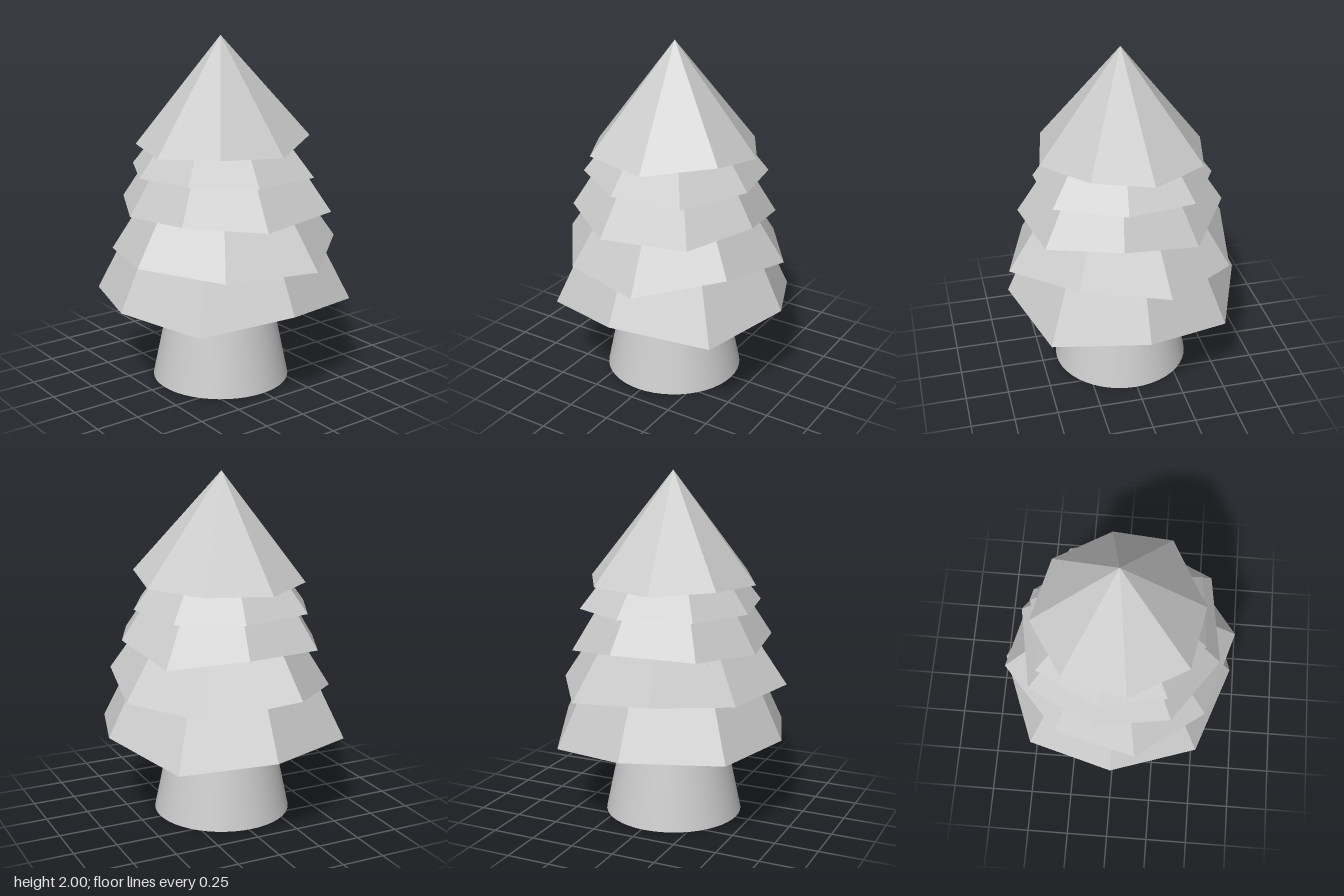
import * as THREE from 'three';

const AXIS_X = -0.015, AXIS_Z = 0.005;

// Each foliage tier is an eight-sided cone with an uneven rim.
// Rim corners are [x, y, z], going from +x towards +z.
const TIERS = [
  { name: 'lowestFoliage', tip: 1.94, rim: [
    [0.69, 0.535, 0], [0.53, 0.495, 0.525], [-0.015, 0.545, 0.685], [-0.515, 0.48, 0.505],
    [-0.69, 0.51, 0], [-0.55, 0.5, -0.495], [-0.015, 0.505, -0.7], [0.48, 0.445, -0.495]] },
  { name: 'lowerFoliage', tip: 1.77, rim: [
    [0.63, 0.77, -0.13], [0.54, 0.84, 0.365], [0.14, 0.77, 0.69], [-0.365, 0.76, 0.535],
    [-0.665, 0.8, 0.14], [-0.54, 0.78, -0.335], [-0.18, 0.82, -0.66], [0.345, 0.75, -0.55]] },
  { name: 'middleFoliage', tip: 1.94, rim: [
    [0.555, 1.06, 0.12], [0.38, 1.035, 0.515], [-0.125, 1.01, 0.59], [-0.5, 1.045, 0.33],
    [-0.56, 1.02, -0.1], [-0.37, 1.04, -0.485], [0.095, 1.055, -0.57], [0.47, 0.985, -0.32]] },
  { name: 'upperFoliage', tip: 1.91, rim: [
    [0.495, 1.24, 0.08], [0.3, 1.23, 0.455], [-0.115, 1.23, 0.495], [-0.44, 1.25, 0.3],
    [-0.505, 1.235, -0.08], [-0.33, 1.24, -0.435], [0.085, 1.235, -0.505], [0.42, 1.23, -0.31]] },
  { name: 'topFoliage', tip: 2, rim: [
    [0.47, 1.385, -0.07], [0.42, 1.43, 0.27], [0.06, 1.375, 0.48], [-0.31, 1.395, 0.41],
    [-0.49, 1.37, 0.08], [-0.4, 1.385, -0.285], [-0.09, 1.37, -0.485], [0.28, 1.38, -0.395]] },
];

// Closed cone from a tip and a rim: sloping sides plus the underside.
function rimCone(tipY, rim) {
  const tip = [AXIS_X, tipY, AXIS_Z];
  const baseY = rim.reduce((sum, p) => sum + p[1], 0) / rim.length;
  const base = [AXIS_X, baseY, AXIS_Z];
  const corners = [];
  rim.forEach((p, i) => {
    const next = rim[(i + 1) % rim.length];
    corners.push(...tip, ...next, ...p, ...base, ...p, ...next);
  });
  const geometry = new THREE.BufferGeometry();
  geometry.setAttribute('position', new THREE.Float32BufferAttribute(corners, 3));
  geometry.computeVertexNormals();
  return geometry;
}

export function createModel() {
  const tree = new THREE.Group();
  tree.name = 'tree';

  // Smooth, tapered trunk
  const trunk = new THREE.Mesh(
    new THREE.CylinderGeometry(0.275, 0.4, 0.6, 48),
    new THREE.MeshStandardMaterial({ color: 0xcccccc }));
  trunk.name = 'trunk';
  trunk.position.set(AXIS_X - 0.003, 0.3, AXIS_Z + 0.005);
  tree.add(trunk);

  // Faceted foliage tiers
  const foliageMaterial = new THREE.MeshStandardMaterial({ color: 0xcccccc, flatShading: true });
  for (const { name, tip, rim } of TIERS) {
    const tier = new THREE.Mesh(rimCone(tip, rim), foliageMaterial);
    tier.name = name;
    tree.add(tier);
  }
  return tree;
}
